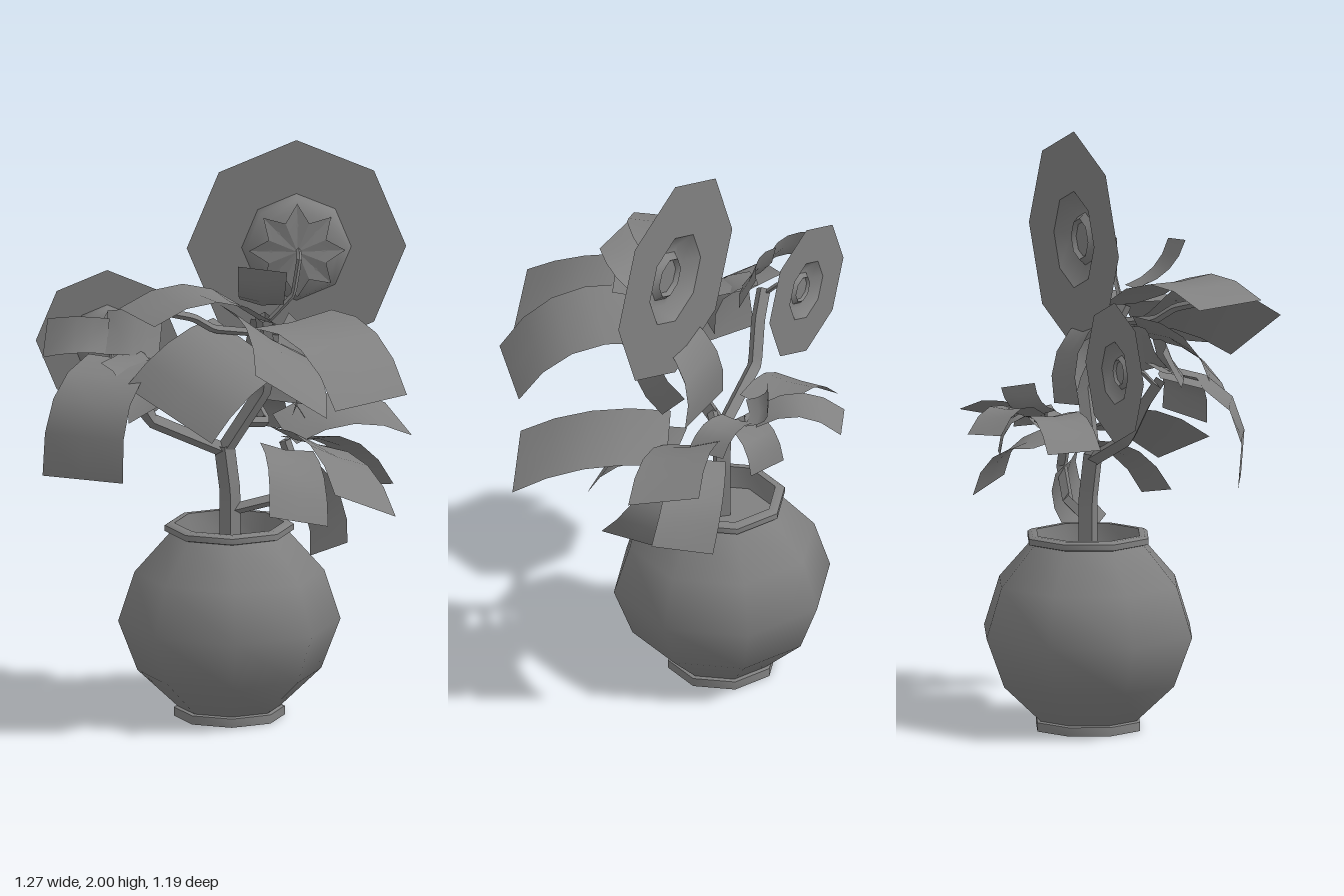
import * as THREE from 'three';
import { toCreasedNormals } from 'three/addons/utils/BufferGeometryUtils.js';

const grey = new THREE.MeshStandardMaterial({ color: 0x808080, side: THREE.DoubleSide });
const V = (p) => new THREE.Vector3(...p);

function add(parent, name, geometry) {
  const mesh = new THREE.Mesh(geometry, grey);
  mesh.name = name;
  parent.add(mesh);
  return mesh;
}

// Eight-sided turned form from [radius, height] pairs
function turned(profile) {
  return new THREE.LatheGeometry(profile.map(([r, y]) => new THREE.Vector2(r, y)), 8);
}
const turnedSharp = (profile) => toCreasedNormals(turned(profile), 0.85);

// Angular stem following a few points
function stem(parent, name, radius, points) {
  const curve = new THREE.CatmullRomCurve3(points.map(V), false, 'catmullrom', 0.02);
  const tube = new THREE.TubeGeometry(curve, points.length * 4, radius, 4);
  add(parent, name, toCreasedNormals(tube, 0.6));
}

// Arched strip from the middle of its base edge to its two tip corners
function leaf(parent, name, base, tipA, tipB, arch = 0.05, baseWidth = 0.9) {
  const g = new THREE.PlaneGeometry(1, 1, 2, 4);
  const b = V(base), a = V(tipA), c = V(tipB);
  const across = c.clone().sub(a);
  const along = a.clone().add(c).multiplyScalar(0.5).sub(b);
  const up = across.clone().cross(along).normalize();
  if (up.y < 0) up.negate();
  const pos = g.attributes.position, p = new THREE.Vector3();
  for (let i = 0; i < pos.count; i++) {
    const u = pos.getX(i), v = pos.getY(i) + 0.5;
    p.copy(b).addScaledVector(along, v)
      .addScaledVector(across, u * (baseWidth + (1 - baseWidth) * v))
      .addScaledVector(up, arch * 4 * v * (1 - v) + Math.abs(u) * 0.03 * (1 - v));
    pos.setXYZ(i, p.x, p.y, p.z);
  }
  g.computeVertexNormals();
  add(parent, name, g);
}

function leafGroup(parent, name, leaves) {
  const group = new THREE.Group();
  group.name = name + 'Leaves';
  leaves.forEach((l, i) => leaf(group, name + 'Leaf' + (i + 1), ...l));
  parent.add(group);
}

// Flower facing backwards: flat petal disc, hollow cup, button and sepal star
function flower(parent, name, x, y, z, scale) {
  const g = new THREE.Group();
  g.name = name;
  add(g, 'petalDisc', turned([[0.165, 0], [0.37, 0]]));
  add(g, 'cup', turnedSharp([[0.185, 0], [0.172, -0.026], [0.142, -0.05], [0.09, -0.062], [0, -0.064]]));
  add(g, 'innerRing', turnedSharp([[0.165, 0], [0.115, -0.042], [0.09, -0.042], [0.07, -0.02], [0.06, -0.035], [0, -0.035]]));
  const star = new THREE.ConeGeometry(1, 0.02, 16, 1, true);
  const pos = star.attributes.position;
  for (let i = 0; i < pos.count; i++) {
    const angle = Math.atan2(pos.getX(i), pos.getZ(i));
    const even = Math.round(angle / (Math.PI / 8)) % 2 === 0;
    const top = pos.getY(i) > 0;
    const r = top ? 0 : even ? 0.162 : 0.105;
    pos.setXYZ(i, Math.sin(angle) * r, top ? -0.072 : even ? -0.052 : -0.068, Math.cos(angle) * r);
  }
  add(g, 'sepals', toCreasedNormals(star, 0.3));
  g.rotation.x = -Math.PI / 2;
  g.position.set(x, y, z);
  g.scale.setScalar(scale);
  parent.add(g);
}

export function createModel() {
  const model = new THREE.Group();
  model.name = 'pottedPlant';

  // Pot: foot, rounded body, rim and soil
  const pot = new THREE.Group();
  pot.name = 'pot';
  pot.position.set(0.013, 0, -0.14);
  model.add(pot);
  add(pot, 'foot', turnedSharp([[0, 0], [0.187, 0], [0.187, 0.03], [0.17, 0.034]]));
  add(pot, 'body', turned([[0.175, 0.034], [0.31, 0.16], [0.375, 0.33], [0.32, 0.5], [0.2, 0.635]]));
  add(pot, 'rim', turnedSharp([[0.2, 0.635], [0.218, 0.64], [0.218, 0.66], [0.205, 0.668], [0.185, 0.668], [0.175, 0.58]]));
  add(pot, 'soil', turned([[0.178, 0.59], [0, 0.595]]));

  // Trunk and branches
  stem(model, 'trunk', 0.035, [[0.015, 0.58, -0.14], [0.015, 0.78, -0.14], [-0.005, 0.94, -0.13]]);
  stem(model, 'leftBranch', 0.025, [[-0.005, 0.92, -0.13], [-0.25, 1.03, -0.11], [-0.32, 1.16, -0.08], [-0.39, 1.24, -0.06]]);
  stem(model, 'upperBranch', 0.028, [[-0.005, 0.92, -0.13], [0.13, 1.14, -0.1], [0.13, 1.3, -0.02], [0.12, 1.42, 0.04]]);
  stem(model, 'lowerBranch', 0.02, [[0.015, 0.71, -0.14], [0.18, 0.75, -0.14], [0.23, 0.86, -0.14], [0.2, 0.95, -0.14]]);
  stem(model, 'backBranch', 0.018, [[0.05, 1.02, -0.12], [0.14, 1.0, -0.2], [0.1, 1.06, -0.29]]);
  stem(model, 'sideTwig', 0.014, [[0.12, 1.36, 0.02], [-0.05, 1.39, 0.08], [-0.12, 1.44, 0.12], [-0.22, 1.47, 0.16]]);
  stem(model, 'largeFlowerStalk', 0.009, [[0.13, 1.4, 0.04], [0.22, 1.5, 0.05], [0.24, 1.63, 0.06], [0.24, 1.635, -0.02]]);
  stem(model, 'smallFlowerStalk', 0.008, [[-0.38, 1.22, -0.06], [-0.39, 1.28, -0.12], [-0.395, 1.285, -0.19]]);

  // Flowers
  flower(model, 'largeFlower', 0.237, 1.63, -0.092, 1);
  flower(model, 'smallFlower', -0.395, 1.285, -0.225, 0.65);

  // Leaves: middle of base, two tip corners, arch, relative base width
  leafGroup(model, 'upper', [
    [[0.21, 1.41, 0.08], [0.337, 1.21, 0.54], [0.59, 1.21, 0.31], 0.08, 1.1],
    [[0.09, 1.39, 0.12], [0.066, 1.35, 0.595], [0.31, 1.18, 0.52], 0.05, 1.1],
    [[0.1, 1.42, 0.07], [-0.37, 1.47, 0.1], [-0.265, 1.47, 0.375], 0.08, 1],
    [[0.08, 1.33, 0.08], [-0.35, 1.21, 0.15], [-0.07, 1.06, 0.36], 0.06],
    [[0.11, 1.47, 0.08], [0.025, 1.64, 0.225], [0.19, 1.62, 0.235], -0.03],
    [[0.16, 1.38, -0.02], [0.04, 1.1, -0.16], [0.27, 1.07, -0.15], 0.06, 0.7],
    [[0.17, 1.37, 0.06], [0.22, 1.06, -0.03], [0.27, 1.19, -0.15], 0.05],
  ]);

  // Leaves around the small flower
  leafGroup(model, 'left', [
    [[-0.34, 1.26, -0.04], [-0.63, 0.9, 0.125], [-0.365, 0.9, 0.255], 0.13],
    [[-0.4, 1.33, -0.07], [-0.6, 1.38, -0.14], [-0.62, 1.26, -0.08], 0.03],
    [[-0.41, 1.34, -0.08], [-0.21, 1.4, -0.14], [-0.23, 1.25, -0.06], 0.03],
    [[-0.38, 1.27, -0.04], [-0.22, 1.12, 0.03], [-0.34, 1.08, 0.14], 0.06],
  ]);

  // Lower right leaves
  leafGroup(model, 'lower', [
    [[0.2, 0.97, -0.16], [0.55, 1.02, -0.375], [0.63, 0.96, -0.145], 0.06],
    [[0.23, 0.97, -0.06], [0.34, 0.9, 0.455], [0.55, 0.8, 0.36], 0.06],
    [[0.2, 0.93, -0.08], [0.13, 0.77, 0.22], [0.33, 0.73, 0.2], 0.05],
    [[0.22, 0.88, -0.11], [0.4, 0.65, 0.1], [0.28, 0.57, -0.05], 0.05],
    [[0.24, 0.94, -0.18], [0.45, 0.74, -0.37], [0.57, 0.78, -0.2], 0.06],
  ]);

  // Leaves at the back
  leafGroup(model, 'back', [
    [[0.01, 1.07, -0.3], [-0.28, 1.0, -0.42], [-0.27, 1.0, -0.22], 0.05],
    [[0.08, 1.06, -0.32], [-0.14, 1.05, -0.53], [-0.01, 1.04, -0.595], 0.06],
    [[0.11, 1.06, -0.26], [0.09, 0.94, -0.43], [0.22, 0.93, -0.38], 0.05],
    [[0.12, 1.06, -0.27], [0.27, 1.0, -0.3], [0.28, 1.0, -0.17], 0.04],
    [[0.08, 1.07, -0.29], [0.03, 1.19, -0.33], [0.15, 1.16, -0.4], -0.03],
  ]);

  return model;
}
